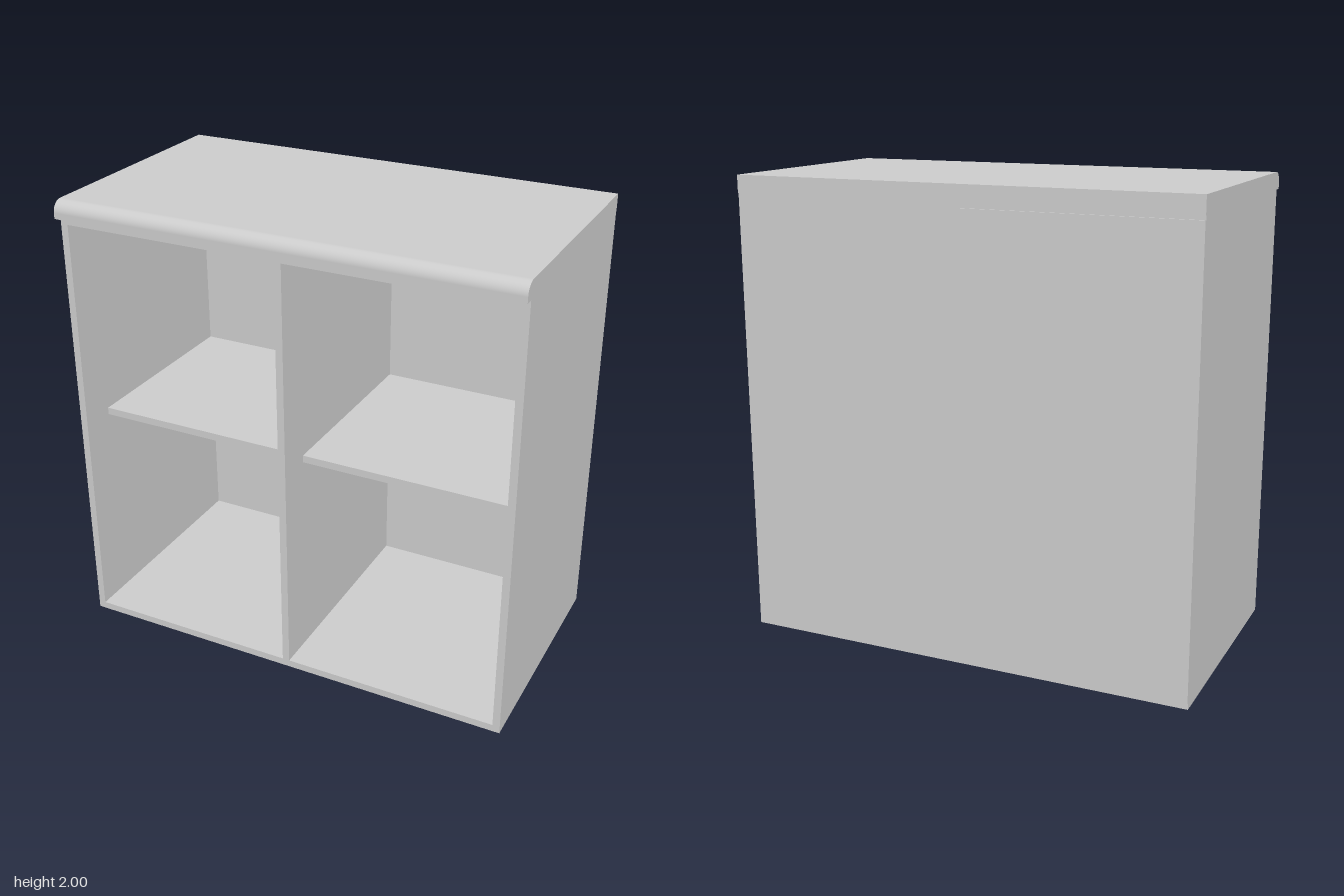
import * as THREE from 'three';

const grey = new THREE.MeshStandardMaterial({ color: 0xcccccc });

const T = 0.032;               // board thickness
const CARCASS_TOP = 1.925;
const FRONT = 0.515, BACK = -0.545;
const BACK_INNER = BACK + 0.03;

function addMesh(parent, name, geometry) {
  const mesh = new THREE.Mesh(geometry, grey);
  mesh.name = name;
  parent.add(mesh);
  return mesh;
}

// Box given by its lower and upper corners
function addBox(parent, name, [x0, y0, z0], [x1, y1, z1]) {
  const mesh = addMesh(parent, name, new THREE.BoxGeometry(x1 - x0, y1 - y0, z1 - z0));
  mesh.position.set((x0 + x1) / 2, (y0 + y1) / 2, (z0 + z1) / 2);
  return mesh;
}

function rectangle(path, x0, y0, x1, y1) {
  return path.moveTo(x0, y0).lineTo(x1, y0).lineTo(x1, y1).lineTo(x0, y1).closePath();
}

export function createModel() {
  const cabinet = new THREE.Group();
  cabinet.name = 'cabinet';

  // Carcass: sides, divider, floor and ceiling as one frame with two openings
  const frame = rectangle(new THREE.Shape(), -1, 0, 1, CARCASS_TOP);
  const openings = [[-1 + T, -T / 2], [T / 2, 1 - T]];
  for (const [x0, x1] of openings) {
    frame.holes.push(rectangle(new THREE.Path(), x0, T, x1, CARCASS_TOP - T));
  }
  const frameGeometry = new THREE.ExtrudeGeometry(frame, { depth: FRONT - BACK_INNER, bevelEnabled: false });
  addMesh(cabinet, 'carcass', frameGeometry).position.z = BACK_INNER;
  addBox(cabinet, 'backPanel', [-1, 0, BACK], [1, CARCASS_TOP, BACK_INNER]);

  // One set-back shelf per compartment
  openings.forEach(([x0, x1], i) => {
    addBox(cabinet, i ? 'leftShelf' : 'rightShelf', [x0, 0.958, BACK_INNER], [x1, 0.99, 0.36]);
  });

  // Worktop: side profile with a rounded front edge, swept along x
  const noseZ = 0.553, backZ = -0.549, r = 0.05;
  const profile = new THREE.Shape();
  profile.moveTo(-noseZ, CARCASS_TOP);
  profile.lineTo(-backZ, CARCASS_TOP);
  profile.lineTo(-backZ, 2);
  profile.lineTo(-noseZ + r, 2);
  profile.absarc(-noseZ + r, 2 - r, r, Math.PI / 2, Math.PI, false);
  const worktop = new THREE.ExtrudeGeometry(profile, { depth: 2, bevelEnabled: false, curveSegments: 12 });
  worktop.rotateY(Math.PI / 2);
  // Smooth the rounded nose: normals point away from the arc centre
  const pos = worktop.attributes.position, nor = worktop.attributes.normal;
  for (let i = 0; i < pos.count; i++) {
    const dy = pos.getY(i) - (2 - r), dz = pos.getZ(i) - (noseZ - r);
    if (Math.abs(nor.getX(i)) < 0.5 && dy > -1e-4 && dz > -1e-4) {
      const l = Math.hypot(dy, dz);
      nor.setXYZ(i, 0, dy / l, dz / l);
    }
  }
  addMesh(cabinet, 'worktop', worktop).position.x = -1;

  // Door laid on the back of one half
  addBox(cabinet, 'door', [-1, 0.027, -0.553], [-0.03, 1.908, BACK + 0.01]);

  // Slim handle on the inner face, with two short posts
  const handle = new THREE.Group();
  handle.name = 'handle';
  handle.position.set(-0.1, 1.565, BACK_INNER);
  addMesh(handle, 'handleBar', new THREE.CapsuleGeometry(0.01, 0.29, 6, 16)).position.z = 0.025;
  for (const side of [-1, 1]) {
    const post = addMesh(handle, 'handlePost', new THREE.CylinderGeometry(0.008, 0.008, 0.025, 12));
    post.rotation.x = Math.PI / 2;
    post.position.set(0, side * 0.135, 0.0125);
  }
  cabinet.add(handle);

  return cabinet;
}
